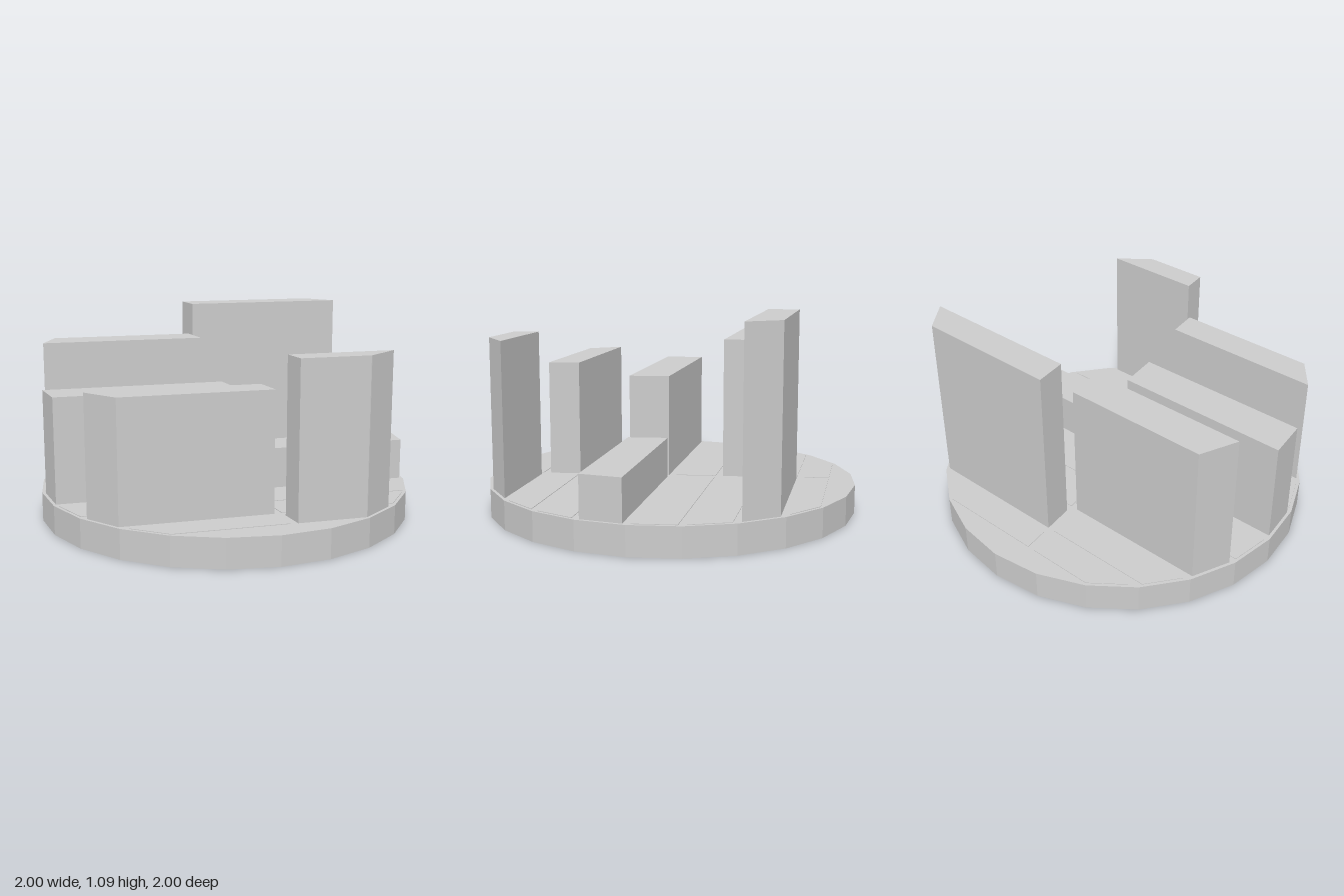
import * as THREE from 'three';

const deg = Math.PI / 180;
const SIDES = 24, BASE_H = 0.155, GAP = 0.02, APOTHEM = 0.984;

// Keep the part of a convex polygon where nx*x + nz*z <= d
function clip(points, nx, nz, d) {
  const out = [];
  points.forEach((a, i) => {
    const b = points[(i + 1) % points.length];
    const da = nx * a.x + nz * a.y - d, db = nx * b.x + nz * b.y - d;
    if (da <= 0) out.push(a);
    if (da * db < 0) out.push(a.clone().lerp(b, da / (da - db)));
  });
  return out;
}

// Outline (x, z) of one plot: the inset disc cut by its row lines and the middle lane
function plotOutline(side, row) {
  const r = APOTHEM / Math.cos(Math.PI / SIDES);
  let pts = [];
  for (let i = 0; i < SIDES; i++) {
    const a = (7.5 + i * 15) * deg;
    pts.push(new THREE.Vector2(r * Math.cos(a), r * Math.sin(a)));
  }
  const vx = -Math.sin(22.5 * deg), vz = Math.cos(22.5 * deg);
  const line = (k) => Math.sin((k - 4) * 15 * deg);
  const low = line(row) + (row === 0 ? 0.005 : GAP);
  const high = line(row + 1) - (row === 7 ? 0.005 : GAP);
  pts = clip(pts, vx, vz, high);
  pts = clip(pts, -vx, -vz, -low);
  return clip(pts, -side * Math.cos(15 * deg), -side * Math.sin(15 * deg), -GAP);
}

export function createModel() {
  const group = new THREE.Group();
  const material = new THREE.MeshStandardMaterial({ color: 0xcccccc, flatShading: true });

  // Round base with flat sides facing the axes
  const baseGeo = new THREE.CylinderGeometry(
    1 / Math.cos(Math.PI / SIDES), 1 / Math.cos(Math.PI / SIDES), BASE_H, SIDES, 1, false, 7.5 * deg);
  baseGeo.translate(0, BASE_H / 2, 0);
  const base = new THREE.Mesh(baseGeo, material);
  base.name = 'base';
  group.add(base);

  // Top heights of the tall blocks; every other plot is a thin slab
  const tops = {
    left: { 2: 0.92, 4: 0.715, 6: 0.785 },
    right: { 1: 1.09, 4: 0.375, 7: 0.96 },
  };
  for (const [name, side] of [['left', -1], ['right', 1]]) {
    for (let row = 0; row < 8; row++) {
      const top = tops[name][row];
      const outline = plotOutline(side, row).map((p) => new THREE.Vector2(p.x, -p.y));
      const geo = new THREE.ExtrudeGeometry(new THREE.Shape(outline), {
        depth: top ? top - BASE_H : 0.003, bevelEnabled: false,
      });
      geo.rotateX(-Math.PI / 2);
      geo.translate(0, BASE_H, 0);
      const plot = new THREE.Mesh(geo, material);
      plot.name = top ? 'tallBlock' : 'floorSlab';
      group.add(plot);
    }
  }
  return group;
}
